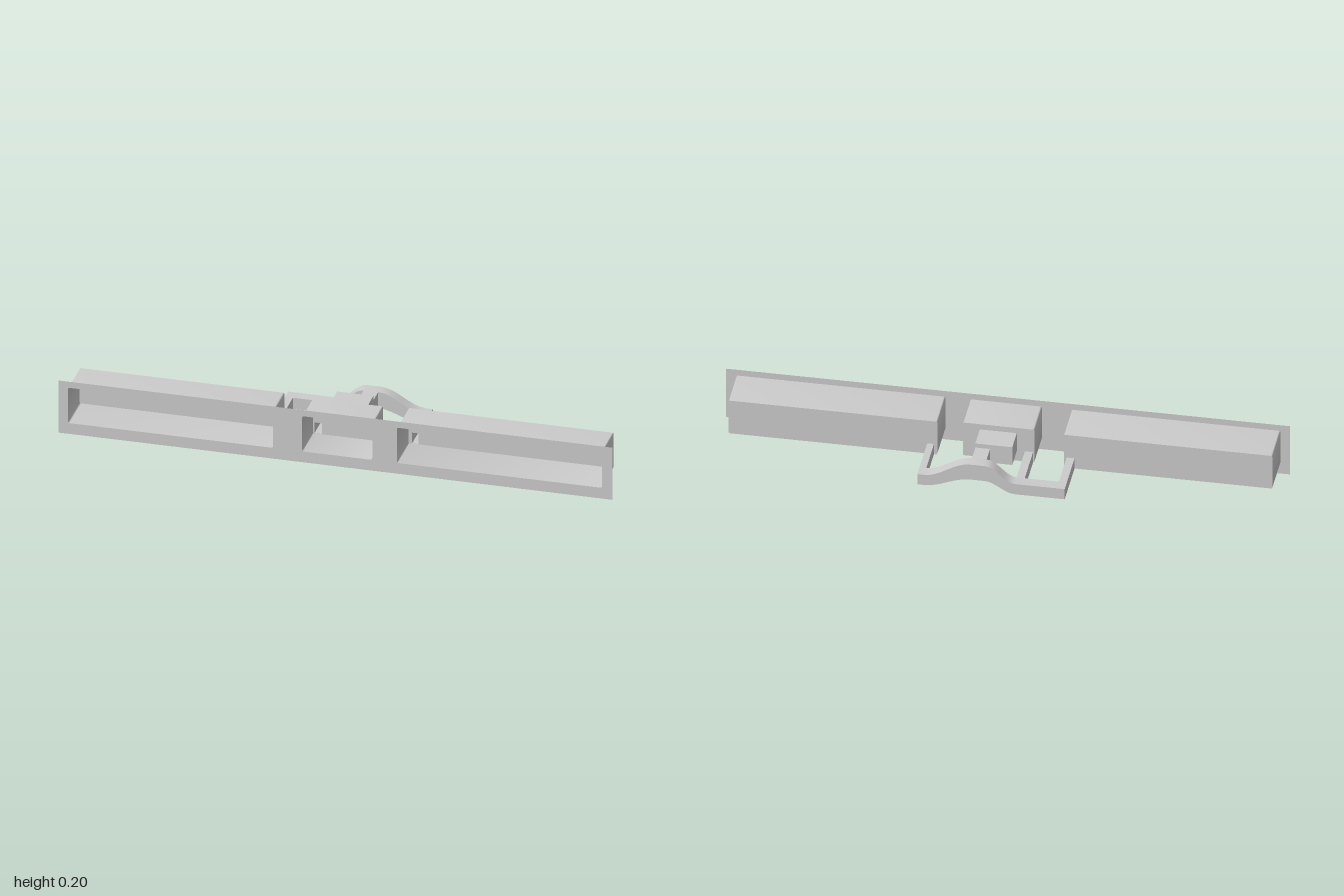
import * as THREE from 'three';
import { toCreasedNormals } from 'three/addons/utils/BufferGeometryUtils.js';

const material = new THREE.MeshStandardMaterial({ color: 0xcccccc, side: THREE.DoubleSide });

// Rectangle outline; r rounds the corners
function rect([x0, x1, y0, y1], r = 0, PathType = THREE.Shape) {
  const p = new PathType();
  p.moveTo(x0 + r, y0).lineTo(x1 - r, y0);
  if (r) p.quadraticCurveTo(x1, y0, x1, y0 + r);
  p.lineTo(x1, y1 - r);
  if (r) p.quadraticCurveTo(x1, y1, x1 - r, y1);
  p.lineTo(x0 + r, y1);
  if (r) p.quadraticCurveTo(x0, y1, x0, y1 - r);
  p.lineTo(x0, y0 + r);
  if (r) p.quadraticCurveTo(x0, y0, x0 + r, y0);
  p.closePath();
  return p;
}

// Thin flat wall at depth z, facing forward, with openings cut in it
function wall(name, shape, z, holes = [], r = 0) {
  const s = shape.clone();
  s.holes = holes.map((h) => rect(h, r, THREE.Path));
  const mesh = new THREE.Mesh(new THREE.ShapeGeometry(s, 8), material);
  mesh.position.z = z;
  mesh.name = name;
  return mesh;
}

// Hollow sleeve along z, open at both ends: the side faces of an extrusion
function sleeve(name, shape, z0, z1, segments = 4) {
  const solid = new THREE.ExtrudeGeometry(shape, { depth: z1 - z0, bevelEnabled: false, curveSegments: segments });
  const { start, count } = solid.groups[1];
  const sides = new THREE.BufferGeometry();
  const pos = solid.attributes.position.array.slice(start * 3, (start + count) * 3);
  sides.setAttribute('position', new THREE.BufferAttribute(pos, 3));
  sides.computeVertexNormals();
  const mesh = new THREE.Mesh(toCreasedNormals(sides, 0.6), material);
  mesh.position.z = z0;
  mesh.name = name;
  return mesh;
}

export function createModel() {
  const model = new THREE.Group();
  model.name = 'ventAssembly';
  const front = 0.175, barFront = -0.133, barBack = -0.175, r = 0.006;
  const low = 0.042, lowTop = 0.085;

  // Openings shared by neighbouring parts: [x0, x1, y0, y1]
  const armR = [-0.264, -0.236, low, lowTop];
  const armC = [-0.115, -0.086, low, lowTop];
  const armL = [0.234, 0.258, low, lowTop];
  const neck = [-0.03, 0.043, 0.11, 0.145];
  const upper = [0.02, 0.072, 0.09, 0.148];

  // Vent boxes, open at the front, with duct openings in their back walls
  const vents = [
    { name: 'rightVent', box: [-0.965, -0.226, low, 0.18], back: 0.018, holes: [armR] },
    { name: 'centreVent', box: [-0.12, 0.133, low, 0.18], back: 0.03, holes: [armC, neck] },
    { name: 'leftVent', box: [0.222, 0.962, low, 0.18], back: 0.018, holes: [armL] },
  ];
  model.add(wall('frontPanel', rect([-1, 1, 0, 0.204]), front, vents.map((v) => v.box), r));
  for (const { name, box, back, holes } of vents) {
    const vent = new THREE.Group();
    vent.name = name;
    // Keep duct openings a hair inside the wall outline
    const inset = holes.map(([a, b, c, d]) => [a + 0.001, b - 0.001, Math.max(c, low + 0.001), d]);
    vent.add(sleeve(name + 'Walls', rect(box, r), back, front), wall(name + 'Back', rect(box, r), back, inset));
    model.add(vent);
  }

  // Low ducts running back to the crossbar
  model.add(
    sleeve('rightDuct', rect(armR), barFront, 0.018),
    sleeve('centreDuct', rect(armC), barFront, 0.03),
    sleeve('leftDuct', rect(armL), barFront, 0.018),
  );

  // Small plenum behind the centre vent, its neck and its rear duct
  const plenum = new THREE.Group();
  plenum.name = 'plenum';
  const body = rect([-0.059, 0.072, 0.09, 0.165]);
  plenum.add(
    sleeve('plenumWalls', body, -0.068, 0.02),
    wall('plenumFront', body, 0.02, [neck]),
    wall('plenumBack', body, -0.068, [[0.021, 0.071, 0.091, 0.147]]),
    sleeve('plenumNeck', rect(neck), 0.02, 0.03),
    sleeve('plenumDuct', rect(upper), barFront, -0.068),
  );
  model.add(plenum);

  // Crossbar duct that swells upward to meet the plenum duct
  const bar = new THREE.Shape();
  const ramp = (x0, y0, x1, y1) => {
    const a = x0 + (x1 - x0) * 0.35, b = x0 + (x1 - x0) * 0.65;
    bar.bezierCurveTo(a, y0, b, y1, x1, y1);
  };
  bar.moveTo(-0.264, low).lineTo(-0.086, low);
  ramp(-0.086, low, 0.02, lowTop);
  bar.lineTo(0.072, lowTop);
  ramp(0.072, lowTop, 0.234, low);
  bar.lineTo(0.258, low).lineTo(0.258, lowTop).lineTo(0.234, lowTop);
  ramp(0.234, lowTop, 0.072, 0.148);
  bar.lineTo(0.02, 0.148);
  ramp(0.02, 0.148, -0.086, lowTop);
  bar.lineTo(-0.264, lowTop).closePath();
  const barHoles = [armR, armC, armL, upper].map(([a, b, c, d]) => [a + 0.001, b - 0.001, c + 0.001, d - 0.001]);
  const crossbar = new THREE.Group();
  crossbar.name = 'crossbar';
  crossbar.add(
    sleeve('crossbarWalls', bar, barBack, barFront, 8),
    wall('crossbarFront', bar, barFront, barHoles),
    wall('crossbarBack', bar, barBack),
  );
  model.add(crossbar);
  return model;
}
